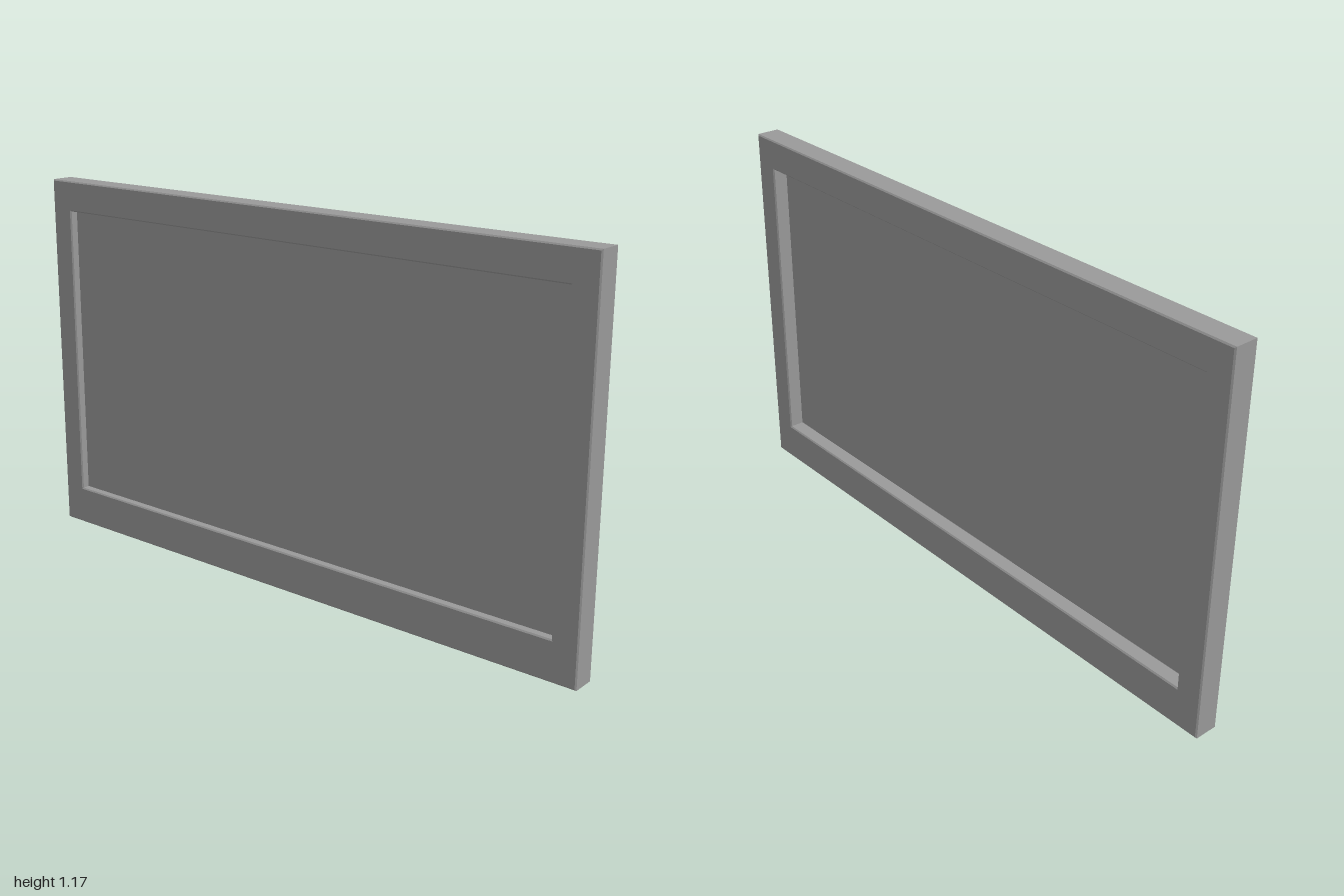
import * as THREE from 'three';

const WIDTH = 2, HEIGHT = 1.174, DEPTH = 0.08, BEVEL = 0.004;
const OPENING = { x: 0.919, bottom: 0.124, top: 1.076 };

// Trace a rectangle onto a shape or hole path
function rectangle(path, x, bottom, top) {
  path.moveTo(-x, bottom);
  path.lineTo(x, bottom);
  path.lineTo(x, top);
  path.lineTo(-x, top);
  path.closePath();
  return path;
}

export function createModel() {
  const group = new THREE.Group();
  group.name = 'framedPanel';
  const material = new THREE.MeshStandardMaterial({ color: 0x9a9a9a });

  // Surrounding frame with slightly chamfered edges
  const outline = rectangle(new THREE.Shape(), WIDTH / 2, 0, HEIGHT);
  outline.holes.push(rectangle(new THREE.Path(), OPENING.x, OPENING.bottom, OPENING.top));
  const frameGeometry = new THREE.ExtrudeGeometry(outline, {
    depth: DEPTH - 2 * BEVEL,
    bevelEnabled: true,
    bevelSize: BEVEL,
    bevelThickness: BEVEL,
    bevelOffset: -BEVEL,
    bevelSegments: 1,
  });
  frameGeometry.translate(0, 0, BEVEL - DEPTH / 2);
  const frame = new THREE.Mesh(frameGeometry, material);
  frame.name = 'frame';
  group.add(frame);

  // Thin panel, set nearer the front, its edges held inside the frame
  const lip = 0.01;
  const panel = new THREE.Mesh(
    new THREE.BoxGeometry(2 * (OPENING.x + lip), OPENING.top - OPENING.bottom + 2 * lip, 0.006),
    material
  );
  panel.position.set(0, (OPENING.top + OPENING.bottom) / 2, 0.011);
  panel.name = 'panel';
  group.add(panel);

  return group;
}
